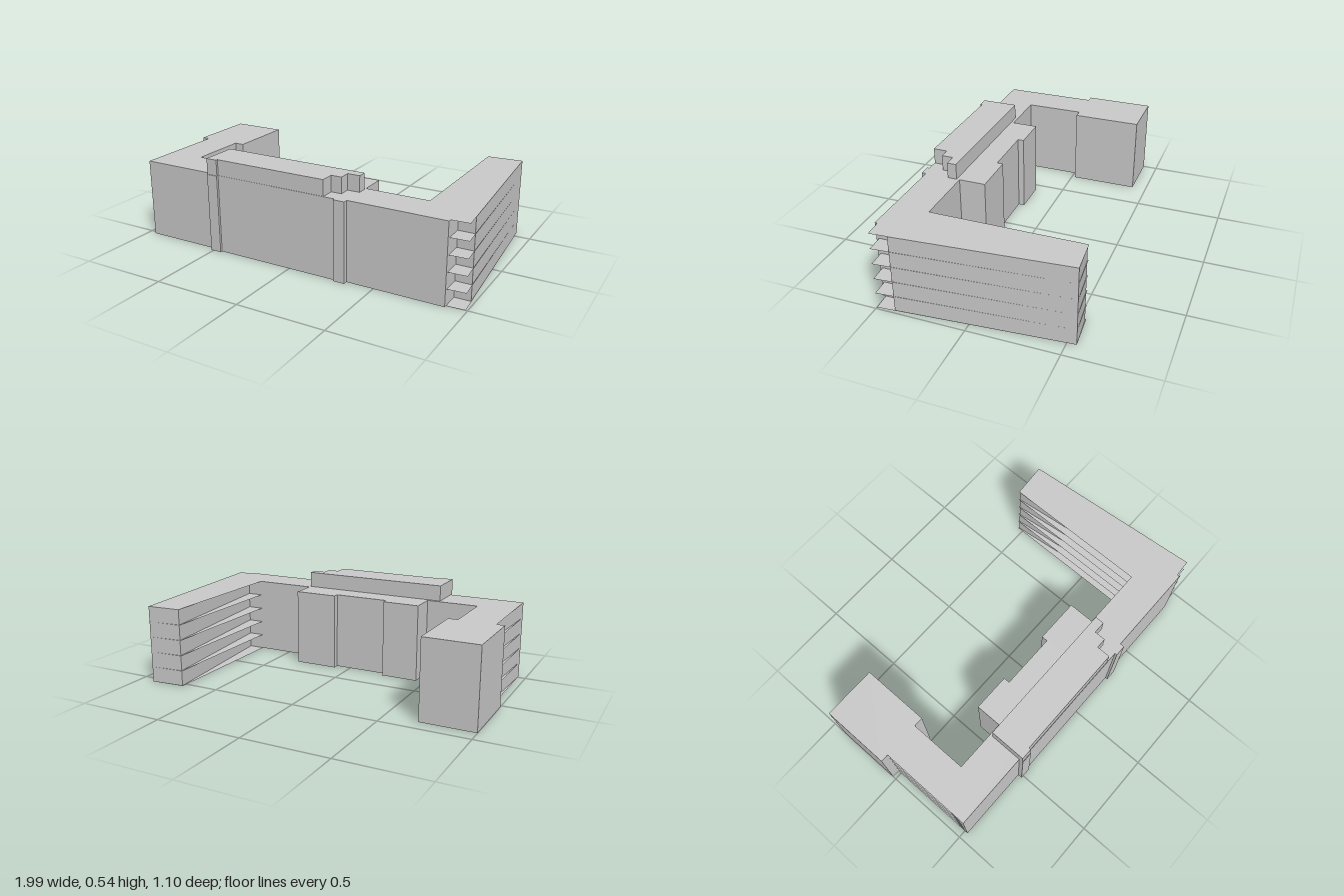
import * as THREE from 'three';

const STOREY = 0.09, ROOF = 0.45;
const grey = new THREE.MeshStandardMaterial({ color: 0xcccccc, flatShading: true, side: THREE.DoubleSide });

// Plan outline given as [x, z] corners
const plan = (pts) => new THREE.Shape(pts.map(([x, z]) => new THREE.Vector2(x, -z)));
const rect = (x0, x1, z0, z1) => [[x0, z1], [x1, z1], [x1, z0], [x0, z0]];

export function createModel() {
  const group = new THREE.Group();

  const add = (name, geometry, y) => {
    geometry.rotateX(-Math.PI / 2);
    const mesh = new THREE.Mesh(geometry, grey);
    mesh.name = name;
    mesh.position.y = y;
    group.add(mesh);
  };
  const prism = (name, pts, y0, y1, hole) => {
    const shape = plan(pts);
    if (hole) shape.holes.push(plan(hole));
    add(name, new THREE.ExtrudeGeometry(shape, { depth: y1 - y0, bevelEnabled: false }), y0);
  };

  // U-shaped walls; the slanted wing and right wing have wedge-shaped recesses
  prism('mainWalls', [
    [-0.955, 0.52], [-0.93, -0.02], [-0.745, -0.02], [-0.745, 0.315], [0.8, 0.315],
    [0.71, -0.53], [0.905, -0.55], [0.98, 0.4], [0.89, 0.4], [0.89, 0.52],
  ], 0, ROOF);

  // Floor slabs reaching past the recessed walls as balconies
  for (let i = 0; i <= 5; i++) {
    add('floorSlab', new THREE.ShapeGeometry(plan([
      [-0.955, 0.52], [-0.955, -0.02], [-0.745, -0.02], [-0.745, 0.315], [0.705, 0.315],
      [0.705, -0.535], [0.905, -0.55], [0.99, 0.5], [0.89, 0.505], [0.89, 0.52],
    ])), i * STOREY);
  }

  // End block of the right wing, with an open ground storey
  const endBlock = rect(-1, -0.69, -0.415, -0.02);
  prism('endBlock', endBlock, STOREY, ROOF);
  prism('endBlockGroundWalls', endBlock, 0, STOREY, rect(-0.997, -0.693, -0.412, -0.023));

  // Central section: front projection with pilasters, rear bays
  prism('centralFront', rect(-0.515, 0.345, 0.4, 0.532), 0, ROOF);
  prism('frontPilaster', rect(-0.515, -0.45, 0.45, 0.545), 0, ROOF);
  prism('frontPilaster', rect(0.28, 0.345, 0.45, 0.545), 0, ROOF);
  prism('rearCentre', rect(-0.24, 0.1, 0.2, 0.33), 0, ROOF);
  prism('rearBay', rect(-0.445, -0.23, 0.165, 0.33), 0, ROOF);
  prism('rearBay', rect(0.09, 0.345, 0.165, 0.33), 0, ROOF);

  // Penthouse stepping back around a corner terrace
  prism('penthouse', [
    [-0.515, 0.542], [-0.45, 0.542], [-0.45, 0.53], [0.215, 0.53], [0.215, 0.45],
    [0.275, 0.45], [0.275, 0.385], [0.345, 0.385], [0.345, 0.332], [-0.515, 0.332],
  ], ROOF, ROOF + STOREY);

  return group;
}
